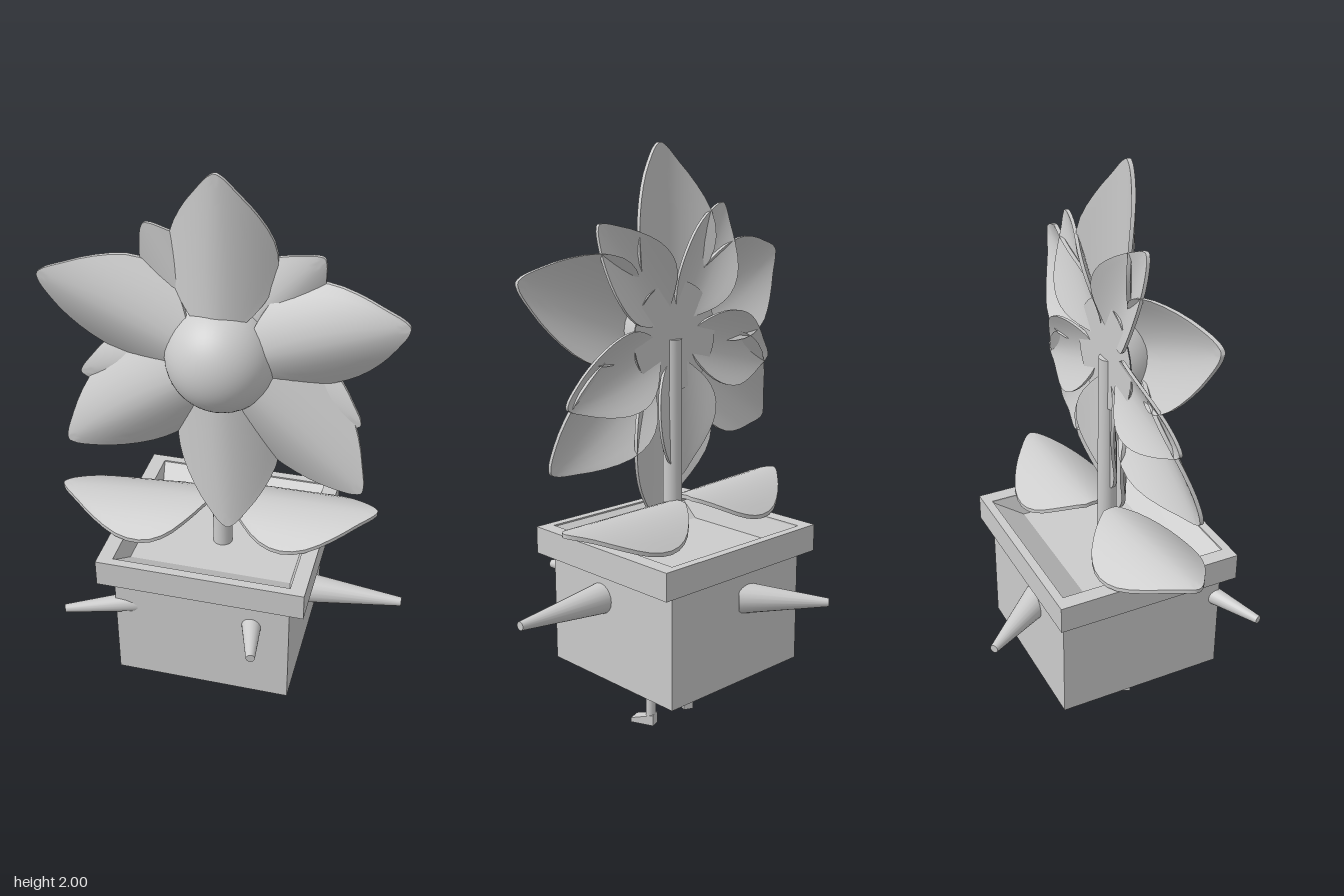
import * as THREE from 'three';
import { toCreasedNormals } from 'three/addons/utils/BufferGeometryUtils.js';

const grey = new THREE.MeshStandardMaterial({ color: 0xcccccc });
const X0 = -0.035; // stem axis

function add(parent, name, geometry, x = 0, y = 0, z = 0) {
  const mesh = new THREE.Mesh(geometry, grey);
  mesh.name = name;
  mesh.position.set(x, y, z);
  parent.add(mesh);
  return mesh;
}

// Arched blade along +y, ridge on z = 0, side edges bent back to -z.
function bladeGeometry(start, length, halfWidth, drop, thick) {
  const outline = new THREE.SplineCurve([
    [0, 0.15], [0.1, 0.52], [0.24, 0.86], [0.4, 1], [0.58, 0.93],
    [0.76, 0.66], [0.9, 0.34], [0.97, 0.16], [1, 0.03],
  ].map(p => new THREE.Vector2(...p)));
  const rows = 18, cols = 10, ring = 2 * (cols + 1);
  const pos = [], index = [];
  for (let i = 0; i <= rows; i++) {
    const p = outline.getPoint(i / rows);
    for (let k = 0; k < ring; k++) {
      const back = k > cols;
      const u = (back ? ring - 1 - k : k) / cols * 2 - 1;
      const z = -drop * Math.pow(Math.abs(u * p.y), 1.7);
      pos.push(u * p.y * halfWidth, start + p.x * length, z - (back ? thick : 0));
    }
  }
  for (let i = 0; i < rows; i++) {
    for (let k = 0; k < ring; k++) {
      const a = i * ring + k, b = i * ring + (k + 1) % ring;
      index.push(a, b, b + ring, a, b + ring, a + ring);
    }
  }
  // close both ends
  const last = rows * ring;
  for (let k = 0; k < cols; k++) {
    const m = ring - 1 - k;
    index.push(k, m, m - 1, k, m - 1, k + 1);
    index.push(last + k, last + k + 1, last + m - 1, last + k, last + m - 1, last + m);
  }
  const g = new THREE.BufferGeometry();
  g.setAttribute('position', new THREE.Float32BufferAttribute(pos, 3));
  g.setIndex(index);
  return toCreasedNormals(g, 0.7);
}

// Tapered round peg between two points
function peg(parent, name, from, to, r0, r1) {
  const a = new THREE.Vector3(...from), d = new THREE.Vector3(...to).sub(a);
  const mesh = add(parent, name, new THREE.CylinderGeometry(r1, r0, d.length(), 20));
  mesh.position.copy(a).addScaledVector(d, 0.5);
  mesh.quaternion.setFromUnitVectors(new THREE.Vector3(0, 1, 0), d.normalize());
}

function buildPot() {
  const pot = new THREE.Group();
  pot.name = 'pot';
  const cx = -0.038, cz = 0.035;
  // body: four walls and a base, open on top
  const body = new THREE.Shape();
  const rect = (path, w, d) => path.moveTo(-w, -d).lineTo(w, -d).lineTo(w, d).lineTo(-w, d).closePath();
  rect(body, 0.302, 0.295);
  const bodyGeo = new THREE.ExtrudeGeometry(body, { depth: 0.4, bevelEnabled: false }).rotateX(-Math.PI / 2);
  add(pot, 'potBody', bodyGeo, cx, 0.22, cz);
  // rim frame
  const rim = new THREE.Shape(), hole = new THREE.Path();
  rect(rim, 0.354, 0.325);
  rect(hole, 0.302, 0.295);
  rim.holes.push(hole);
  const rimGeo = new THREE.ExtrudeGeometry(rim, { depth: 0.095, bevelEnabled: false }).rotateX(-Math.PI / 2);
  add(pot, 'potRim', rimGeo, cx, 0.615, cz);
  // basin sloping down to the soil
  const pos = [], index = [4, 7, 6, 4, 6, 5];
  for (const [w, d, y] of [[0.302, 0.295, 0.705], [0.28, 0.185, 0.635]])
    for (const [sx, sz] of [[-1, -1], [1, -1], [1, 1], [-1, 1]]) pos.push(sx * w, y, sz * d);
  for (let k = 0; k < 4; k++) {
    const n = (k + 1) % 4;
    index.push(k, k + 4, n + 4, k, n + 4, n);
  }
  const basin = new THREE.BufferGeometry();
  basin.setAttribute('position', new THREE.Float32BufferAttribute(pos, 3));
  basin.setIndex(index);
  add(pot, 'soilBasin', toCreasedNormals(basin, 0.1), cx, 0, cz);
  return pot;
}

function buildFlower() {
  const flower = new THREE.Group();
  flower.name = 'flower';
  flower.position.set(X0, 1.37, 0);
  const big = bladeGeometry(0.1, 0.525, 0.173, 0.085, 0.014);
  [90, 20, -40, -87, 214.5, 156].forEach(deg => {
    add(flower, 'frontPetal', big, 0, 0, 0.115).rotation.z = THREE.MathUtils.degToRad(deg - 90);
  });
  const small = bladeGeometry(0.07, 0.42, 0.13, 0.058, 0.012);
  [50, 119, 194, 266, 338].forEach(deg => {
    add(flower, 'backPetal', small, 0, 0, 0.055).rotation.z = THREE.MathUtils.degToRad(deg - 90);
  });
  // domed centre with a flat back
  const dome = new THREE.SphereGeometry(0.185, 36, 16, 0, Math.PI * 2, 0, Math.PI / 2).rotateX(Math.PI / 2);
  add(flower, 'flowerCentre', dome, 0, 0, 0.035);
  add(flower, 'flowerBack', new THREE.CircleGeometry(0.185, 36).rotateY(Math.PI), 0, 0, 0.033);
  return flower;
}

export function createModel() {
  const model = new THREE.Group();
  model.name = 'pottedFlower';
  model.add(buildPot(), buildFlower());

  add(model, 'stem', new THREE.CylinderGeometry(0.032, 0.034, 0.73, 20), X0, 0.995, 0.048);

  // leaves lying across the rim
  const leaf = bladeGeometry(0, 0.515, 0.175, 0.085, 0.014);
  add(model, 'rightLeaf', leaf, -0.085, 0.81, 0.035).rotation.set(-Math.PI / 2, 0, 1.67);
  add(model, 'leftLeaf', leaf, -0.025, 0.81, 0).rotation.set(-Math.PI / 2, 0, -1.55);

  // pegs on the pot
  peg(model, 'leftPeg', [0.24, 0.51, 0.085], [0.605, 0.51, 0.078], 0.056, 0.015);
  peg(model, 'frontPeg', [0.13, 0.515, 0.3], [0.167, 0.51, 0.472], 0.036, 0.015);
  peg(model, 'rightPeg', [-0.27, 0.51, 0.295], [-0.503, 0.505, 0.388], 0.036, 0.014);
  peg(model, 'backPeg', [-0.08, 0.51, -0.235], [-0.257, 0.51, -0.472], 0.055, 0.014);

  // legs with wedge feet turned outward
  for (const [side, x] of [['right', -0.1], ['left', 0.078]]) {
    add(model, side + 'Leg', new THREE.CylinderGeometry(0.02, 0.017, 0.21, 16), x, 0.13, 0.042);
    const foot = new THREE.BoxGeometry(0.036, 0.04, 0.085).translate(0, 0.02, 0.025);
    const p = foot.attributes.position;
    for (let i = 0; i < p.count; i++) {
      if (p.getZ(i) > 0.05) {
        if (p.getY(i) > 0.02) p.setY(i, 0.016);
        p.setX(i, p.getX(i) * 1.25);
      }
    }
    foot.computeVertexNormals();
    add(model, side + 'Foot', foot, x, 0, 0.042).rotation.y = x < 0 ? -0.42 : 0.35;
  }
  return model;
}
